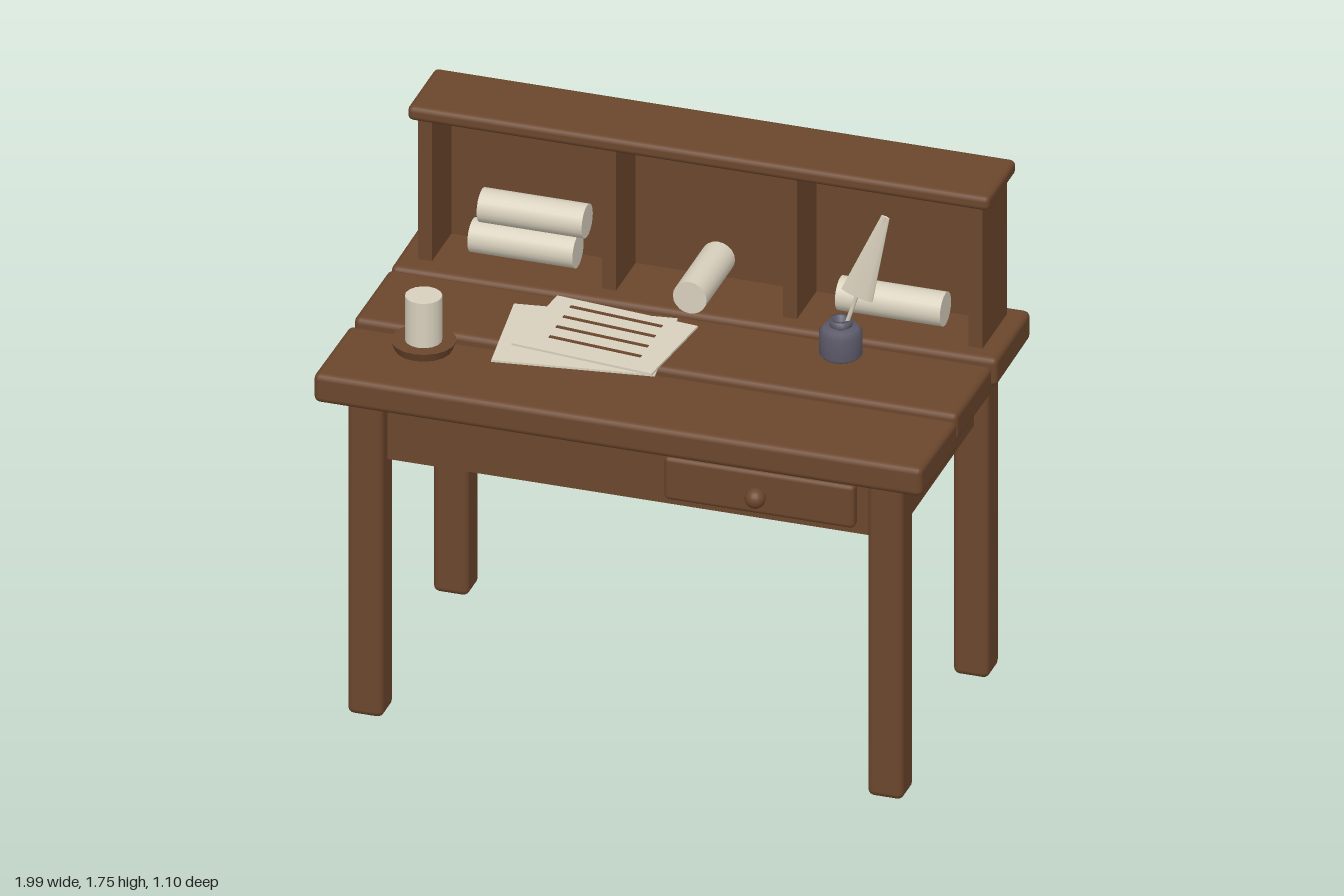
import * as THREE from 'three';
import { RoundedBoxGeometry } from 'three/addons/geometries/RoundedBoxGeometry.js';

const flat = (name, color) => {
  const m = new THREE.MeshStandardMaterial({ color });
  m.name = name;
  return m;
};

export function createModel() {
  const wood = flat('wood', 0x6b462c);
  const paper = flat('paper', 0xd8d0bd);
  const ink = flat('inkwell grey', 0x5c5a69);

  const desk = new THREE.Group();
  desk.name = 'writingDesk';

  const add = (name, geometry, material, x, y, z) => {
    const mesh = new THREE.Mesh(geometry, material);
    mesh.name = name;
    mesh.position.set(x, y, z);
    desk.add(mesh);
    return mesh;
  };
  const box = (w, h, d) => new THREE.BoxGeometry(w, h, d);
  const rounded = (w, h, d, r) => new RoundedBoxGeometry(w, h, d, 2, r);

  // Legs
  for (const x of [-0.847, 0.847]) {
    for (const z of [-0.418, 0.418]) {
      add('leg', rounded(0.115, 1.12, 0.115, 0.02), wood, x, 0.56, z);
    }
  }

  // Carcass between the legs, with drawer and knob
  add('apron', box(1.72, 0.205, 0.84), wood, 0, 0.988, 0);
  add('drawerFront', rounded(0.62, 0.15, 0.06, 0.015), wood, 0.43, 0.99, 0.425);
  add('drawerKnob', new THREE.SphereGeometry(0.033, 16, 12), wood, 0.43, 0.99, 0.487);

  // Slightly uneven top planks: x, y, z, depth, turn, tilt
  const planks = [
    ['frontPlank', -0.002, 1.157, 0.363, 0.345, -0.013, 0.008],
    ['middlePlank', -0.002, 1.165, -0.004, 0.345, -0.006, 0],
    ['backPlank', -0.002, 1.165, -0.372, 0.348, 0.008, 0],
  ];
  for (const [name, x, y, z, depth, turn, tilt] of planks) {
    const width = name === 'frontPlank' ? 1.99 : 1.97;
    add(name, rounded(width, 0.1, depth, 0.02), wood, x, y, z).rotation.set(0, turn, tilt);
  }

  // Shelf unit
  for (const x of [-0.897, -0.297, 0.292, 0.897]) {
    const name = Math.abs(x) > 0.5 ? 'shelfSide' : 'shelfDivider';
    add(name, box(0.046, 0.5, 0.235), wood, x, 1.462, -0.3825);
  }
  add('shelfBack', box(1.76, 0.5, 0.04), wood, 0, 1.462, -0.475);
  add('shelfTop', rounded(1.895, 0.05, 0.275, 0.018), wood, -0.002, 1.73, -0.3825);

  // Paper scrolls
  const scroll = new THREE.CylinderGeometry(0.055, 0.055, 0.342, 20);
  for (const [x, y] of [[-0.6, 1.28], [-0.57, 1.39], [0.597, 1.28]]) {
    add('scroll', scroll, paper, x, y, -0.357).rotation.z = Math.PI / 2;
  }
  add('middleScroll', scroll, paper, -0.005, 1.28, -0.348).rotation.x = Math.PI / 2;

  // Candle on a dish
  add('candleDish', new THREE.CylinderGeometry(0.102, 0.09, 0.03, 18), wood, -0.727, 1.217, 0.256);
  add('candle', new THREE.CylinderGeometry(0.058, 0.058, 0.17, 16), paper, -0.727, 1.302, 0.256);

  // Letter sheets with written lines
  add('lowerSheet', box(0.515, 0.007, 0.375), paper, -0.262, 1.219, 0.08).rotation.y = 0.134;
  add('upperSheet', box(0.477, 0.007, 0.342), paper, -0.208, 1.227, 0.046).rotation.y = -0.108;
  for (let i = 0; i < 4; i++) {
    add('writtenLine', box(0.312, 0.004, 0.013), wood, -0.21, 1.231, -0.075 + i * 0.0685).rotation.y = -0.108;
  }

  // Inkwell
  const profile = [
    [0, 0], [0.058, 0], [0.068, 0.012], [0.068, 0.085], [0.055, 0.102],
    [0.03, 0.104], [0.036, 0.108], [0.036, 0.128], [0.022, 0.128], [0.02, 0.11], [0, 0.11],
  ].map(([r, y]) => new THREE.Vector2(r, y));
  add('inkwell', new THREE.LatheGeometry(profile, 18).toNonIndexed(), ink, 0.517, 1.212, -0.088);

  // Quill: shaft and flattened feather along one leaning axis
  const quill = new THREE.Group();
  quill.name = 'quill';
  quill.position.set(0.527, 1.3, -0.088);
  quill.rotation.z = -0.31;
  const shaft = new THREE.Mesh(new THREE.CylinderGeometry(0.005, 0.007, 0.445, 8), paper);
  shaft.name = 'quillShaft';
  shaft.position.y = 0.222;
  const feather = new THREE.Mesh(new THREE.CylinderGeometry(0.014, 0.055, 0.305, 10), paper);
  feather.name = 'quillFeather';
  feather.position.y = 0.292;
  feather.scale.z = 0.25;
  quill.add(shaft, feather);
  desk.add(quill);

  return desk;
}
